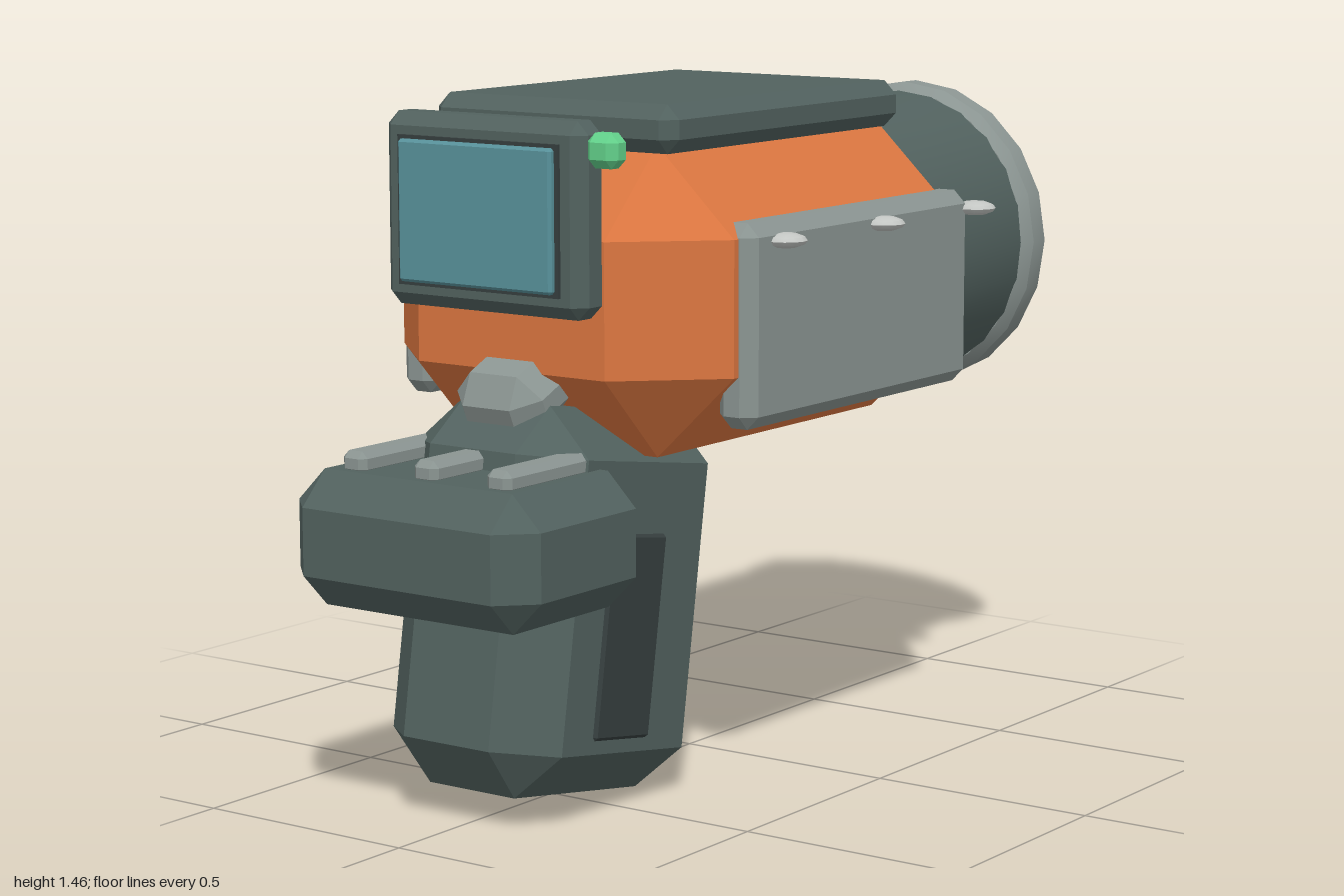
import * as THREE from 'three';
import { ConvexGeometry } from 'three/addons/geometries/ConvexGeometry.js';
import { toCreasedNormals } from 'three/addons/utils/BufferGeometryUtils.js';

const paint = (name, color) => Object.assign(new THREE.MeshStandardMaterial({ color }), { name });

// Box with every edge cut off; c is one cut size or one per axis
function chamferBox(w, h, d, c) {
  const [cx, cy, cz] = Array.isArray(c) ? c : [c, c, c];
  const points = [];
  for (const sx of [-1, 1]) for (const sy of [-1, 1]) for (const sz of [-1, 1]) {
    const x = w / 2, y = h / 2, z = d / 2;
    points.push(
      new THREE.Vector3(sx * x, sy * (y - cy), sz * (z - cz)),
      new THREE.Vector3(sx * (x - cx), sy * y, sz * (z - cz)),
      new THREE.Vector3(sx * (x - cx), sy * (y - cy), sz * z));
  }
  return new ConvexGeometry(points);
}

// Turned part along the z axis; profile is [radius, distance towards the back]
function turned(profile, segments) {
  const g = new THREE.LatheGeometry(profile.map(([r, t]) => new THREE.Vector2(r, t)), segments);
  return toCreasedNormals(g.rotateX(-Math.PI / 2), 0.45);
}

export function createModel() {
  const model = new THREE.Group();
  model.name = 'handheldScanner';

  const orange = paint('orange shell', 0xdb7640);
  const slate = paint('dark slate', 0x52625f);
  const grey = paint('grey metal', 0x8b9592);
  const pale = paint('pale metal', 0xc3c6c3);
  const green = paint('green light', 0x62d08a);
  const glass = paint('blue glass', 0x58929b);
  const black = paint('grip black', 0x363f3f);

  const add = (name, geometry, material, x, y, z, parent = model) => {
    const mesh = new THREE.Mesh(geometry, material);
    mesh.name = name;
    mesh.position.set(x, y, z);
    parent.add(mesh);
    return mesh;
  };

  // Body and top cover
  add('body', chamferBox(0.86, 0.64, 1.17, [0.19, 0.18, 0.18]), orange, 0, 1.06, 0.045);
  add('topCover', chamferBox(0.62, 0.1, 0.87, 0.03), slate, 0, 1.415, 0.065);

  // Side plates with three flat studs each
  const stud = toCreasedNormals(new THREE.SphereGeometry(0.045, 12, 6).scale(1, 0.36, 1), 0.6);
  for (const side of [-1, 1]) {
    add('sidePlate', chamferBox(0.095, 0.42, 0.85, 0.028), grey, side * 0.413, 1.02, 0.01);
    for (const z of [-0.42, -0.05, 0.32]) add('stud', stud, pale, side * 0.466, 1.19, z);
  }

  // Rear barrel, rim and lamp
  add('barrel', turned([[0, 0.44], [0.295, 0.44], [0.335, 0.485], [0.335, 0.88], [0, 0.88]], 24),
    slate, 0, 1.063, 0);
  add('barrelRim', turned([[0.3, 0.845], [0.335, 0.845], [0.355, 0.87], [0.355, 0.92], [0.335, 0.945],
    [0.295, 0.95], [0.255, 0.93], [0.235, 0.9], [0, 0.9]], 20), grey, 0, 1.063, 0);
  add('rearLamp', turned([[0.21, 0.87], [0.21, 0.98], [0.19, 1], [0, 1]], 20), green, 0, 1.063, 0);

  // Front screen and its button
  add('screenFrame', chamferBox(0.51, 0.395, 0.095, 0.027), slate, 0, 1.247, 0.678);
  add('screenBezel', new THREE.BoxGeometry(0.408, 0.305, 0.008), black, 0, 1.247, 0.729);
  add('screenGlass', chamferBox(0.39, 0.29, 0.03, 0.006), glass, 0, 1.247, 0.732);
  add('screenButton', chamferBox(0.075, 0.07, 0.06, 0.018), green, 0.293, 1.39, 0.69);

  // Tilted handle with a dark grip panel on each side
  const handle = new THREE.Group();
  handle.name = 'handle';
  handle.position.set(0, 0.432, 0.497);
  handle.rotation.x = -0.16;
  model.add(handle);
  add('handleCore', chamferBox(0.44, 0.8, 0.618, [0.11, 0.1, 0.1]), slate, 0, 0, 0, handle);
  for (const side of [-1, 1]) {
    add('gripPanel', chamferBox(0.03, 0.43, 0.195, 0.01), black, side * 0.212, -0.06, 0.015, handle);
  }

  // Knob above the handle
  add('knob', chamferBox(0.22, 0.14, 0.18, 0.05), grey, 0, 0.872, 0.62).rotation.x = 0.42;

  // Control block with three long keys
  add('controlBlock', chamferBox(0.62, 0.28, 0.45, 0.07), slate, 0, 0.598, 0.775);
  for (const x of [-0.185, 0, 0.185]) {
    add('controlKey', chamferBox(0.062, 0.05, 0.27, 0.014), grey, x, 0.75, 0.777);
  }

  return model;
}
